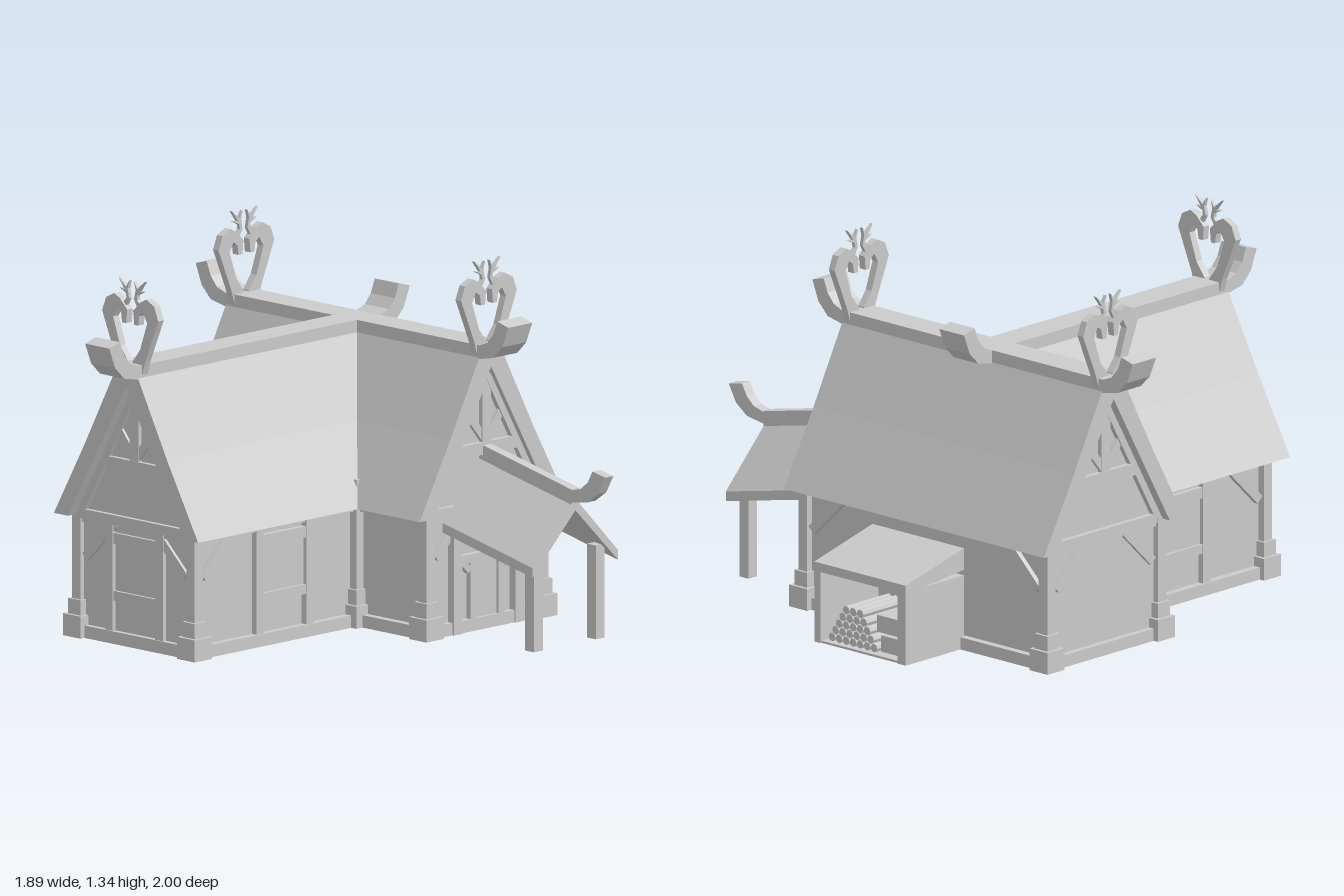
import * as THREE from 'three';

const mat = new THREE.MeshStandardMaterial({ color: 0xcccccc, flatShading: true, side: THREE.DoubleSide });

function add(parent, name, geo, x = 0, y = 0, z = 0) {
  const m = new THREE.Mesh(geo, mat);
  m.name = name;
  m.position.set(x, y, z);
  parent.add(m);
  return m;
}
// box given by its min and max corners
function box(parent, name, x0, x1, y0, y1, z0, z1) {
  return add(parent, name, new THREE.BoxGeometry(x1 - x0, y1 - y0, z1 - z0),
    (x0 + x1) / 2, (y0 + y1) / 2, (z0 + z1) / 2);
}
// straight timber between two points of a wall plane
function timber(parent, name, [x0, y0], [x1, y1], w, z0, z1) {
  const m = add(parent, name, new THREE.BoxGeometry(Math.hypot(x1 - x0, y1 - y0), w, z1 - z0),
    (x0 + x1) / 2, (y0 + y1) / 2, (z0 + z1) / 2);
  m.rotation.z = Math.atan2(y1 - y0, x1 - x0);
  return m;
}
function prism(points, z0, z1) {
  const shape = new THREE.Shape(points.map(p => new THREE.Vector2(...p)));
  return new THREE.ExtrudeGeometry(shape, { depth: z1 - z0, bevelEnabled: false }).translate(0, 0, z0);
}
function group(parent, name, x, z, turn) {
  const g = new THREE.Group();
  g.name = name;
  g.position.set(x, 0, z);
  g.rotation.y = turn;
  parent.add(g);
  return g;
}
const mirrored = pts => [...pts, ...pts.map(([x, y]) => [-x, y]).reverse()];

// upturned ridge end, growing along local +z
function curl(parent, width) {
  const pts = [[0, 0.985], [0.07, 1.0], [0.115, 1.045], [0.145, 1.12],
    [0.09, 1.135], [0.07, 1.085], [0.04, 1.05], [0, 1.035]];
  const geo = prism(pts, -width / 2, width / 2).rotateY(-Math.PI / 2);
  return add(parent, 'ridgeCurl', geo);
}

// pair of carved scrolls with branching horns
function finial(parent, z) {
  const g = group(parent, 'carvedFinial', 0, z, 0);
  const scroll = [[0.0, 1.0], [0.06, 1.0], [0.075, 1.05], [0.14, 1.205], [0.12, 1.255], [0.08, 1.275],
    [0.05, 1.26], [0.015, 1.225], [0.02, 1.175], [0.04, 1.175], [0.045, 1.21], [0.065, 1.225],
    [0.085, 1.19], [0.05, 1.09], [0.012, 1.04]];
  const horn = [[0.03, 1.235], [0.012, 1.265], [0.02, 1.3], [0.012, 1.33], [0.028, 1.305],
    [0.065, 1.335], [0.035, 1.295], [0.06, 1.298], [0.028, 1.282], [0.026, 1.265], [0.045, 1.245]];
  for (const s of [1, -1]) {
    add(g, 'scroll', prism(scroll.map(([x, y]) => [s * x, y]), -0.014, 0.014));
    add(g, 'horn', prism(horn.map(([x, y]) => [s * x, y]), -0.007, 0.007));
  }
}

function cornerPost(parent, x, z) {
  const g = group(parent, 'cornerPost', x, z, 0);
  box(g, 'post', -0.021, 0.021, 0, 0.45, -0.021, 0.021);
  box(g, 'lowerStone', -0.044, 0.044, 0, 0.08, -0.044, 0.044);
  box(g, 'upperStone', -0.031, 0.031, 0.08, 0.135, -0.031, 0.031);
}

// sill, top plate and corner braces; wall faces local +z, post faces lie on z = 0
function wallFrame(parent, half, leftBrace = true, rightBrace = true) {
  box(parent, 'sill', -half, half, 0, 0.045, -0.04, 0.003);
  box(parent, 'topPlate', -half, half, 0.415, 0.45, -0.04, -0.008);
  for (const [s, on] of [[-1, leftBrace], [1, rightBrace]])
    if (on) timber(parent, 'brace', [s * (half - 0.035), 0.29], [s * (half - 0.185), 0.435], 0.034, -0.04, -0.006);
}

// framed window above a lower panel
function windowBay(parent, x) {
  const g = group(parent, 'windowBay', x, 0, 0);
  for (const s of [-1, 1]) box(g, 'stud', s * 0.125 - 0.019, s * 0.125 + 0.019, 0.04, 0.44, -0.04, -0.002);
  for (const [y0, y1] of [[0.36, 0.4], [0.155, 0.19]]) box(g, 'rail', -0.106, 0.106, y0, y1, -0.04, -0.005);
  box(g, 'shutter', -0.106, 0.106, 0.19, 0.36, -0.04, -0.016);
}

// timbered triangle above an end wall, with the end wall below it
function gableEnd(parent, name, x, z, turn) {
  const g = group(parent, name, x, z, turn);
  wallFrame(g, 0.285);
  box(g, 'lowerTie', -0.28, 0.28, 0.43, 0.465, -0.04, 0);
  box(g, 'collarBeam', -0.165, 0.165, 0.63, 0.675, -0.04, 0);
  box(g, 'kingPost', -0.022, 0.022, 0.675, 0.92, -0.04, -0.002);
  for (const s of [-1, 1]) {
    timber(g, 'rafter', [s * 0.278, 0.44], [s * 0.01, 0.915], 0.035, -0.04, 0);
    timber(g, 'gableBrace', [s * 0.01, 0.69], [s * 0.1, 0.8], 0.03, -0.04, -0.006);
  }
  return g;
}

// one wing running along local z: body, bent roof, ridge beam and curls
function wing(parent, name, x, z, turn, body, roof, ridge) {
  const g = group(parent, name, x, z, turn);
  add(g, 'walls', prism([[0.28, 0], [0.28, 0.45], [0, 0.945], [-0.28, 0.45], [-0.28, 0]], ...body));
  const outer = [[-0.36, 0.44], [-0.205, 0.715], [-0.06, 0.99], [0.06, 0.99], [0.205, 0.715], [0.36, 0.44]];
  add(g, 'roof', prism([...outer, [0.29, 0.44], [0, 0.95], [-0.29, 0.44]], ...roof));
  box(g, 'ridgeBeam', -0.06, 0.06, 0.985, 1.035, ...ridge);
  curl(g, 0.12).position.z = ridge[1];
  const back = curl(g, 0.12);
  back.position.z = ridge[0];
  back.rotation.y = Math.PI;
  return g;
}

export function createModel() {
  const house = new THREE.Group();
  house.name = 'timberHall';
  const CX = 0.355, CZ = -0.26;

  // the two crossing wings
  const main = wing(house, 'mainWing', CX, 0, 0, [-0.8, 0.37], [-0.855, 0.41], [-0.86, 0.41]);
  finial(main, 0.385);
  finial(main, -0.825);
  const side = wing(house, 'sideWing', 0, CZ, -Math.PI / 2, [-0.3, 0.75], [-0.3, 0.805], [-0.415, 0.805]);
  finial(side, 0.77);

  // end walls
  const front = gableEnd(house, 'frontGable', CX, 0.39, 0);
  gableEnd(house, 'backGable', CX, -0.82, Math.PI);
  const end = gableEnd(house, 'sideGable', -0.767, CZ, -Math.PI / 2);
  windowBay(end, 0);

  // long walls
  wallFrame(group(house, 'eastWall', 0.66, -0.215, Math.PI / 2), 0.585);
  for (const s of [1, -1]) {
    const wall = group(house, 'sideWingWall', -0.35, CZ + s * 0.305, s > 0 ? 0 : Math.PI);
    wallFrame(wall, 0.4, s > 0, s < 0);
    windowBay(wall, s * 0.04);
  }
  for (const [z, half] of [[0.215, 0.17], [-0.68, 0.13]])
    wallFrame(group(house, 'innerWall', 0.05, z, -Math.PI / 2), half, false, false);

  // corner posts on stones
  const corners = [[0.07, 0.37], [0.64, 0.37], [0.07, -0.8], [0.64, -0.8],
    [-0.747, 0.025], [-0.747, -0.545], [0.06, 0.03], [0.06, -0.55]];
  for (const [x, z] of corners) cornerPost(house, x, z);
  for (const z of [0.05, -0.58]) box(house, 'valleyPeg', 0.03, 0.05, 0.5, 0.535, z - 0.01, z + 0.01);

  // front door
  box(front, 'door', -0.055, 0.055, 0.01, 0.25, -0.03, -0.008);
  box(front, 'lintel', -0.17, 0.17, 0.25, 0.28, -0.03, 0.004);
  for (const s of [-1, 1]) {
    box(front, 'doorJamb', s * 0.07 - 0.015, s * 0.07 + 0.015, 0, 0.25, -0.03, 0.002);
    timber(front, 'doorBrace', [s * 0.085, 0.22], [s * 0.12, 0.255], 0.025, -0.03, 0);
  }

  // porch: the roof is sheared so that it rises toward the house
  const porch = group(house, 'porch', CX, 0, 0);
  const rise = geo => {
    const p = geo.attributes.position;
    for (let i = 0; i < p.count; i++) p.setY(i, p.getY(i) + 0.214 * (0.83 - p.getZ(i)));
    geo.computeVertexNormals();
    return geo;
  };
  const porchRoof = [[-0.215, 0.28], [0, 0.492], [0.215, 0.28], [0.215, 0.315], [0, 0.535], [-0.215, 0.315]];
  add(porch, 'porchRoof', rise(prism(porchRoof, 0.38, 0.83)));
  add(porch, 'porchRidge', rise(prism(mirrored([[0.02, 0.515], [0.02, 0.57]]), 0.36, 0.83)));
  const tip = curl(porch, 0.04);
  tip.scale.set(1, 0.85, 1.17);
  tip.position.set(0, 0.545 - 1.01 * 0.85, 0.83);
  for (const s of [-1, 1]) {
    box(porch, 'porchPost', s * 0.155 - 0.022, s * 0.155 + 0.022, 0, 0.34, 0.755, 0.8);
    box(porch, 'wallPost', s * 0.155 - 0.022, s * 0.155 + 0.022, 0, 0.4, 0.37, 0.4);
  }

  // wood store
  const store = group(house, 'woodStore', 0, 0, 0);
  add(store, 'storeRoof', prism([[0.645, 0.29], [0.945, 0.262], [0.945, 0.295], [0.645, 0.37]], -0.4, 0.045));
  box(store, 'storeSide', 0.645, 0.945, 0, 0.27, 0.015, 0.045);
  box(store, 'storeSide', 0.645, 0.945, 0, 0.27, -0.4, -0.36);
  box(store, 'storeFloor', 0.645, 0.94, 0, 0.008, -0.37, 0.02);
  const logGeo = new THREE.CylinderGeometry(0.016, 0.016, 0.22, 8).rotateZ(Math.PI / 2);
  for (let row = 0; row < 5; row++)
    for (let i = 0; i < 7 - row; i++)
      add(store, 'log', logGeo, 0.81, 0.024 + row * 0.028, -0.12 + (i - (6 - row) / 2) * 0.034);
  box(store, 'lowerCrate', 0.74, 0.92, 0.018, 0.078, -0.35, -0.257);
  box(store, 'upperCrate', 0.74, 0.92, 0.088, 0.15, -0.345, -0.237);

  return house;
}
